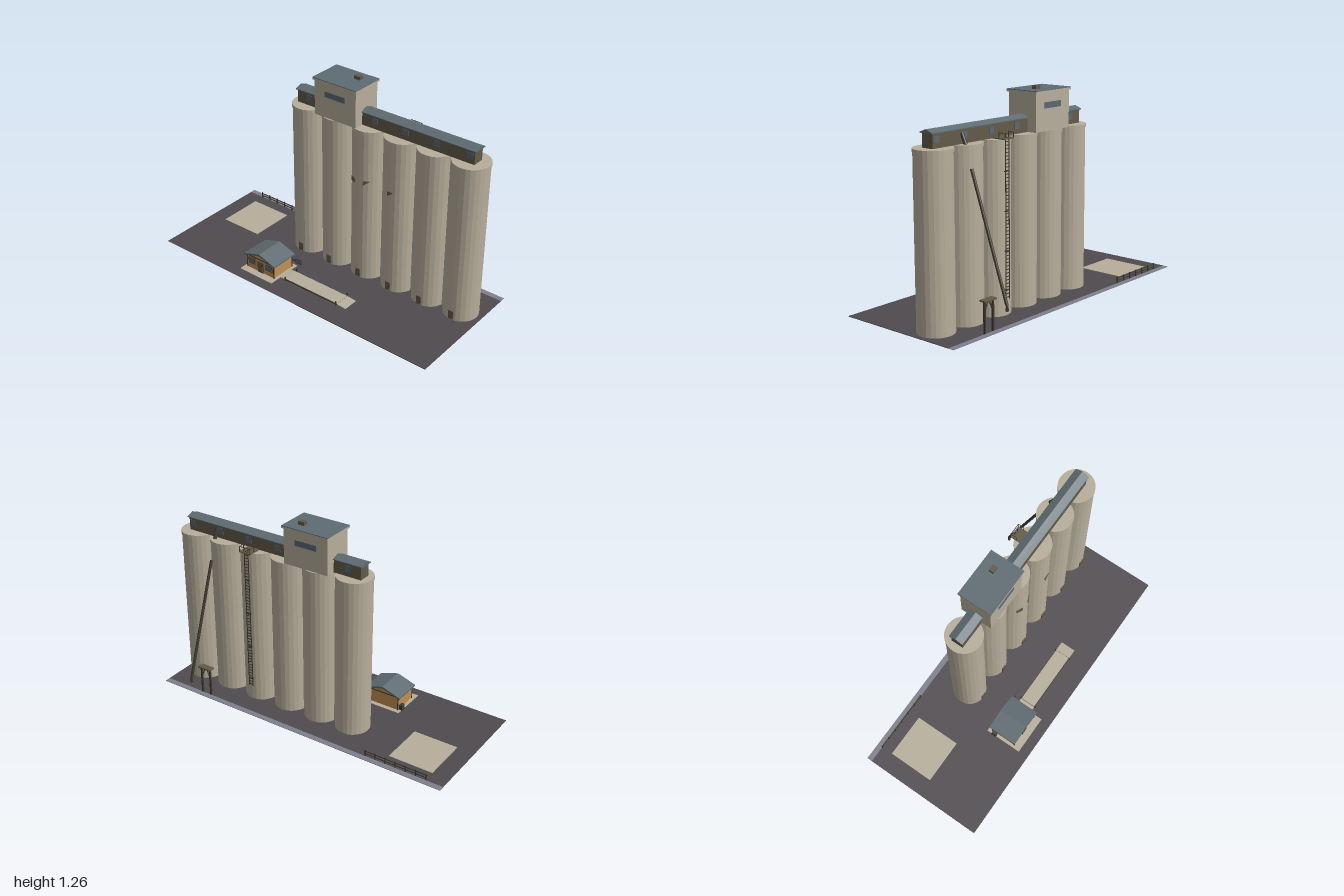
import * as THREE from 'three';

const mat = (name, color, extra = {}) => {
  const m = new THREE.MeshStandardMaterial({ color, flatShading: true, ...extra });
  m.name = name;
  return m;
};

export function createModel() {
  const root = new THREE.Group();
  root.name = 'grainElevator';
  const concrete = mat('concrete', 0xb7ae9b);
  const asphalt = mat('asphalt', 0x4f4a4d);
  const metal = mat('blueGreyMetal', 0x5f6c73);
  const glass = mat('windowBlue', 0x5c6874);
  const olive = mat('oliveSiding', 0x635a47);
  const dark = mat('darkSteel', 0x3f3a2f);
  const wood = mat('ochreWall', 0xc08e52);
  const edge = mat('trackBed', 0x7d7f8c);

  const group = (name, parent = root) => {
    const g = new THREE.Group();
    g.name = name;
    parent.add(g);
    return g;
  };
  const add = (name, geo, m, parent = root) => {
    const mesh = new THREE.Mesh(geo, m);
    mesh.name = name;
    parent.add(mesh);
    return mesh;
  };
  // Box given by its limits on each axis
  const box = (name, m, x0, x1, y0, y1, z0, z1, parent = root) => {
    const b = add(name, new THREE.BoxGeometry(x1 - x0, y1 - y0, z1 - z0), m, parent);
    b.position.set((x0 + x1) / 2, (y0 + y1) / 2, (z0 + z1) / 2);
    return b;
  };
  // Straight bar between two points
  const bar = (name, m, a, b, r, parent = root, sides = 6) => {
    const p = new THREE.Vector3(...a), q = new THREE.Vector3(...b);
    const d = q.clone().sub(p);
    const t = add(name, new THREE.CylinderGeometry(r, r, d.length(), sides), m, parent);
    t.position.copy(p).add(q).multiplyScalar(0.5);
    t.quaternion.setFromUnitVectors(new THREE.Vector3(0, 1, 0), d.normalize());
    return t;
  };
  // Prism of a flat outline, extruded along z
  const prism = (name, m, pts, depth, parent = root) => {
    const s = new THREE.Shape(pts.map(p => new THREE.Vector2(...p)));
    return add(name, new THREE.ExtrudeGeometry(s, { depth, bevelEnabled: false }), m, parent);
  };

  // Site
  box('ground', asphalt, -1, 1, 0, 0.003, -0.325, 0.46);
  box('trackStrip', edge, -1, 1, 0, 0.003, -0.36, -0.325);
  box('sidePad', concrete, -0.89, -0.605, 0.003, 0.006, -0.25, 0.045);
  box('officePad', concrete, -0.425, -0.17, 0.003, 0.007, 0.155, 0.395);

  // Row of silos with rims and front doors
  const silos = group('silos');
  const SZ = -0.1, R = 0.107;
  const siloX = Array.from({ length: 6 }, (_, i) => -0.26 + i * 0.225);
  for (const x of siloX) {
    const body = add('siloBody', new THREE.CylinderGeometry(R, R, 0.982, 24), concrete, silos);
    body.position.set(x, 0.494, SZ);
    const rim = add('siloRim', new THREE.CylinderGeometry(0.111, 0.111, 0.02, 24), concrete, silos);
    rim.position.set(x, 0.995, SZ);
    box('siloDoor', olive, x - 0.016, x + 0.016, 0.01, 0.065, 0, 0.012, silos);
    box('doorHandle', dark, x + 0.006, x + 0.011, 0.034, 0.04, 0.012, 0.015, silos);
  }
  box('siloInfill', concrete, -0.26, 0.865, 0.003, 0.985, SZ - 0.02, SZ + 0.02, silos);

  // Small plates on the silo fronts
  const square = [[-0.02, -0.015], [0.02, -0.015], [0.02, 0.015], [-0.02, 0.015]];
  const wedge = [[-0.02, -0.015], [0.02, 0.015], [-0.02, 0.015]];
  for (const [x, sx, pts] of [[0.145, 0.19, square], [0.235, 0.19, wedge], [0.415, 0.415, wedge]]) {
    const a = Math.asin((x - sx) / R);
    const p = prism('wallPlate', olive, pts, 0.006, silos);
    p.position.set(x, 0.672, SZ + Math.cos(a) * R);
    p.rotation.y = a;
  }

  // Conveyor gallery along the silo tops
  const gallery = group('gallery');
  box('galleryWalls', olive, -0.325, 0.905, 1.005, 1.088, -0.138, -0.062, gallery);
  const gRoof = prism('galleryRoof', metal,
    [[-0.045, 1.084], [0.045, 1.084], [0.045, 1.089], [0, 1.106], [-0.045, 1.089]], 1.25, gallery);
  gRoof.rotation.y = Math.PI / 2;
  gRoof.position.set(-0.335, 0, SZ);
  for (const x of [-0.24, 0.245, 0.455, 0.665, 0.875])
    for (const z of [-0.062, -0.138])
      box('galleryWindow', glass, x - 0.019, x + 0.019, 1.032, 1.07, z - 0.002, z + 0.002, gallery);

  // Headhouse tower
  const head = group('headhouse');
  box('headhouseWalls', concrete, -0.144, 0.154, 1.005, 1.225, -0.2, 0, head);
  box('headhouseParapet', concrete, -0.152, 0.162, 1.225, 1.237, -0.21, 0.01, head);
  box('headhouseRoof', metal, -0.152, 0.162, 1.237, 1.241, -0.21, 0.01, head);
  box('roofVent', olive, 0.05, 0.09, 1.241, 1.262, -0.147, -0.118, head);
  for (const z of [0, -0.2])
    box('headhouseWindow', glass, -0.07, 0.077, 1.135, 1.17, z - 0.002, z + 0.002, head);

  // Loading spout at the back
  const spout = group('loadingSpout');
  bar('upperSpout', dark, [0.69, 1.065, -0.14], [0.69, 1.005, -0.167], 0.011, spout, 8);
  bar('longSpout', dark, [0.69, 0.88, -0.208], [0.69, 0.18, -0.452], 0.009, spout, 8);
  const tip = add('spoutTip', new THREE.CylinderGeometry(0.006, 0.01, 0.034, 8), dark, spout);
  tip.position.set(0.69, 0.167, -0.453);

  // Braced stand under the spout
  const stand = group('spoutStand');
  box('standTop', olive, 0.642, 0.735, 0.181, 0.19, -0.338, -0.296, stand);
  for (const s of [-1, 1]) {
    const x = 0.6885 + s * 0.033;
    box('standPost', dark, x - 0.005, x + 0.005, 0.003, 0.181, -0.326, -0.315, stand);
    bar('standBrace', dark, [x, 0.12, -0.32], [0.6885 + s * 0.006, 0.178, -0.32], 0.004, stand);
  }

  // Ladder and top landing at the back
  const ladder = group('ladder');
  const LX = 0.415, LZ = -0.216;
  for (const s of [-1, 1])
    box('ladderRail', dark, LX + s * 0.014 - 0.002, LX + s * 0.014 + 0.002, 0.1, 1.04, LZ - 0.002, LZ + 0.002, ladder);
  for (let i = 0; i < 46; i++)
    box('ladderRung', dark, LX - 0.014, LX + 0.014, 0.11 + i * 0.02, 0.114 + i * 0.02, LZ - 0.002, LZ + 0.002, ladder);
  for (let y = 0.15; y < 1; y += 0.225)
    box('ladderBracket', dark, LX - 0.014, LX + 0.014, y, y + 0.005, LZ, -0.2, ladder);
  box('landing', olive, LX - 0.04, LX + 0.04, 1.006, 1.012, -0.23, -0.145, ladder);
  for (const s of [-1, 1]) {
    const x = LX + s * 0.038;
    for (const z of [-0.228, -0.19])
      bar('landingPost', dark, [x, 1.01, z], [x, 1.043, z], 0.002, ladder);
    bar('landingSideRail', dark, [x, 1.042, -0.228], [x, 1.042, -0.19], 0.002, ladder);
  }
  bar('landingBackRail', dark, [LX - 0.038, 1.042, -0.228], [LX + 0.038, 1.042, -0.228], 0.002, ladder);

  // Scale office with gable roof
  const office = group('office');
  const OX = -0.297;
  prism('officeWalls', wood,
    [[-0.108, 0.004], [0.108, 0.004], [0.108, 0.097], [0, 0.13], [-0.108, 0.097]], 0.166, office)
    .position.set(OX, 0, 0.182);
  prism('officeRoof', metal,
    [[-0.123, 0.093], [0, 0.13], [0.123, 0.093], [0.123, 0.102], [0, 0.142], [-0.123, 0.102]], 0.19, office)
    .position.set(OX, 0, 0.17);
  for (const z of [0.182, 0.348]) {
    box('gableBeam', dark, OX - 0.11, OX + 0.11, 0.094, 0.1, z - 0.003, z + 0.003, office);
    for (const s of [-1, 1])
      box('cornerPost', dark, OX + s * 0.108 - 0.003, OX + s * 0.108 + 0.003, 0.004, 0.095, z - 0.003, z + 0.003, office);
  }
  for (const s of [-1, 1]) {
    const x = OX + s * 0.07;
    box('windowFrame', dark, x - 0.027, x + 0.027, 0.042, 0.084, 0.347, 0.35, office);
    box('officeWindow', glass, x - 0.023, x + 0.023, 0.046, 0.08, 0.349, 0.352, office);
  }
  box('officeDoorFrame', dark, OX - 0.023, OX + 0.023, 0.004, 0.078, 0.347, 0.35, office);
  box('officeDoor', olive, OX - 0.019, OX + 0.019, 0.007, 0.074, 0.349, 0.352, office);
  box('outsideUnit', dark, -0.43, -0.408, 0.004, 0.04, 0.19, 0.222, office);
  box('signArm', dark, -0.19, -0.148, 0.06, 0.066, 0.18, 0.185, office);
  box('signFrame', dark, -0.157, -0.113, 0.049, 0.08, 0.179, 0.184, office);
  box('signPanel', glass, -0.153, -0.117, 0.053, 0.076, 0.183, 0.186, office);

  // Truck scale with ramps and corner posts
  const scale = group('truckScale');
  box('scaleFrame', dark, -0.13, 0.27, 0.003, 0.009, 0.209, 0.313, scale);
  box('scaleDeck', concrete, -0.128, 0.268, 0.009, 0.012, 0.213, 0.309, scale);
  const ramp = (x0, x1, y0, y1) =>
    prism('ramp', concrete, [[x0, 0.003], [x1, 0.003], [x1, y1], [x0, y0]], 0.1, scale).position.z = 0.211;
  ramp(-0.175, -0.13, 0.006, 0.01);
  ramp(0.27, 0.335, 0.01, 0.004);
  for (const x of [-0.126, 0.266])
    for (const z of [0.208, 0.317])
      box('scalePost', dark, x - 0.003, x + 0.003, 0.003, 0.03, z - 0.003, z + 0.003, scale);

  // Rail fence at the back corner
  const fence = group('fence');
  for (let i = 0; i < 7; i++) {
    const x = -0.89 + i * 0.0667;
    box('fencePost', dark, x - 0.003, x + 0.003, 0.003, 0.042, -0.325, -0.319, fence);
  }
  for (const y of [0.018, 0.035])
    box('fenceRail', dark, -0.89, -0.49, y - 0.002, y + 0.002, -0.324, -0.32, fence);

  return root;
}
